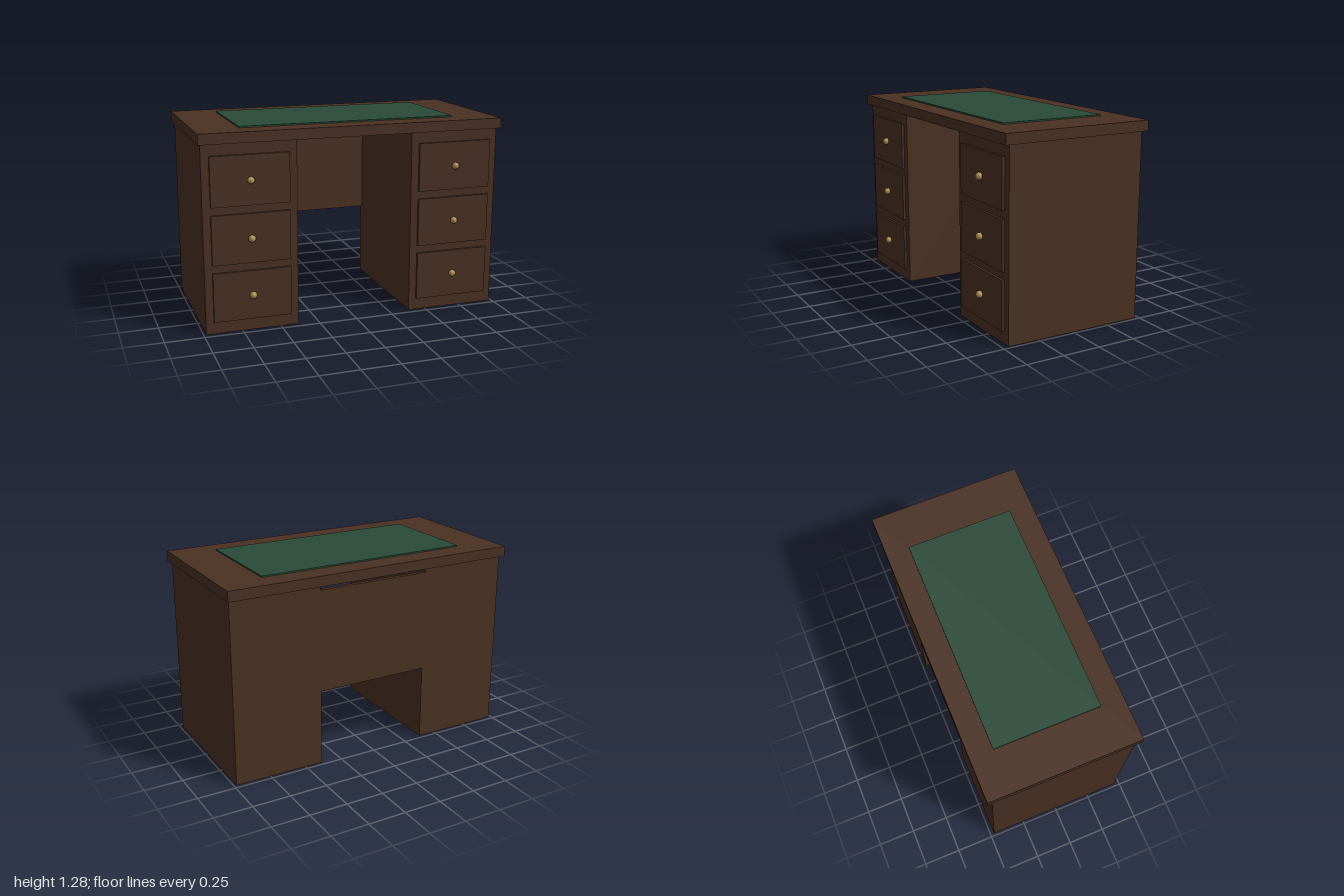
import * as THREE from 'three';

const wood = new THREE.MeshStandardMaterial({ color: 0x4a3022 });
const leather = new THREE.MeshStandardMaterial({ color: 0x2a4a38 });
const brass = new THREE.MeshStandardMaterial({ color: 0xb08d4f });

// Box given by its min and max along each axis
function box(name, material, [x0, x1], [y0, y1], [z0, z1]) {
  const mesh = new THREE.Mesh(new THREE.BoxGeometry(x1 - x0, y1 - y0, z1 - z0), material);
  mesh.position.set((x0 + x1) / 2, (y0 + y1) / 2, (z0 + z1) / 2);
  mesh.name = name;
  return mesh;
}

// Drawer front with a round knob, centred on the pedestal
function createDrawer(y) {
  const drawer = new THREE.Group();
  drawer.name = 'drawer';
  const knob = new THREE.Mesh(new THREE.SphereGeometry(0.023, 24, 16), brass);
  knob.name = 'knob';
  knob.position.set(0, y, 0.488);
  drawer.add(box('drawerFront', wood, [-0.25, 0.25], [y - 0.158, y + 0.158], [0.455, 0.477]), knob);
  return drawer;
}

// Cabinet with three stacked drawers
function createPedestal(name, x) {
  const pedestal = new THREE.Group();
  pedestal.name = name;
  pedestal.position.x = x;
  pedestal.add(box('cabinet', wood, [-0.3, 0.3], [0, 1.203], [-0.475, 0.46]));
  for (let i = 0; i < 3; i++) pedestal.add(createDrawer(0.237 + i * 0.367));
  return pedestal;
}

export function createModel() {
  const desk = new THREE.Group();
  desk.name = 'desk';
  desk.add(createPedestal('leftPedestal', 0.683), createPedestal('rightPedestal', -0.683));

  // Panel closing the knee space at the back
  desk.add(box('modestyPanel', wood, [-0.383, 0.383], [0.503, 1.17], [-0.475, -0.445]));

  // Overhanging top with a writing surface
  desk.add(box('desktop', wood, [-1, 1], [1.203, 1.27], [-0.51, 0.492]));
  desk.add(box('writingPad', leather, [-0.717, 0.717], [1.265, 1.279], [-0.359, 0.341]));
  return desk;
}
